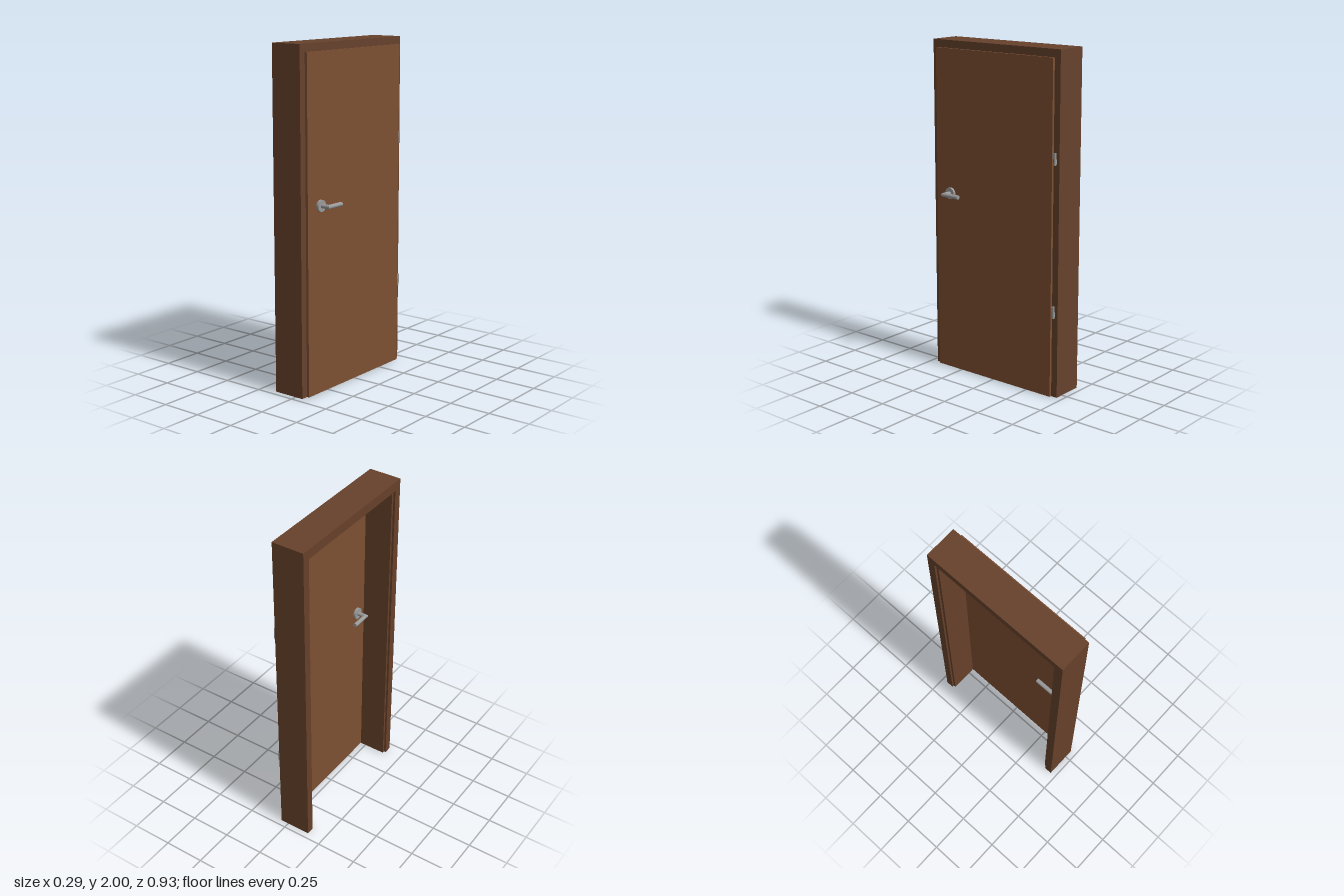
import * as THREE from 'three';

const mat = (color, extra = {}) => new THREE.MeshStandardMaterial({ color, ...extra });
const FRAME = mat(0x66412b);
const DOOR = mat(0x7d4f33);
const METAL = mat(0x999999);

const HALF_WIDTH = 0.463;
const HEIGHT = 2;

function add(parent, name, geometry, material, x = 0, y = 0, z = 0) {
  const mesh = new THREE.Mesh(geometry, material);
  mesh.name = name;
  mesh.position.set(x, y, z);
  parent.add(mesh);
  return mesh;
}

// Box given by its extents
function box(parent, name, material, [x0, x1], [y0, y1], [z0, z1]) {
  return add(parent, name, new THREE.BoxGeometry(x1 - x0, y1 - y0, z1 - z0), material,
    (x0 + x1) / 2, (y0 + y1) / 2, (z0 + z1) / 2);
}

// Upside-down U of jambs and lintel, running through the wall from x0 to x1
function frameLayer(x0, x1, inset) {
  const inner = HALF_WIDTH - inset;
  const top = HEIGHT - inset - 0.008;
  const shape = new THREE.Shape([
    [-HALF_WIDTH, 0], [-inner, 0], [-inner, top], [inner, top],
    [inner, 0], [HALF_WIDTH, 0], [HALF_WIDTH, HEIGHT], [-HALF_WIDTH, HEIGHT],
  ].map(([a, b]) => new THREE.Vector2(a, b)));
  return new THREE.ExtrudeGeometry(shape, { depth: x1 - x0, bevelEnabled: false })
    .rotateY(Math.PI / 2).translate(x0, 0, 0);
}

// Round bar along +y from 0 to length, its top cut at 45 degrees
function mitredBar(radius, length, slope) {
  const g = new THREE.CylinderGeometry(radius, radius, length, 24).translate(0, length / 2, 0);
  const p = g.attributes.position;
  for (let i = 0; i < p.count; i++) {
    if (p.getY(i) > length / 2) p.setY(i, length + slope * p.getX(i));
  }
  return g;
}

// Lever handle, pointing out along +x with its lever towards -z
function makeHandle(name) {
  const handle = new THREE.Group();
  handle.name = name;
  const rose = new THREE.CylinderGeometry(0.034, 0.034, 0.015, 32).rotateZ(-Math.PI / 2);
  add(handle, 'rose', rose, METAL, 0.0075);
  // Local x of each bar is turned into the plane of the bend
  const neck = mitredBar(0.0125, 0.0625, 1).rotateY(-Math.PI / 2).rotateZ(-Math.PI / 2);
  add(handle, 'neck', neck, METAL);
  const lever = mitredBar(0.0125, 0.111, 1).rotateX(Math.PI / 2);
  add(handle, 'lever', lever, METAL, 0.0625, 0, -0.111);
  return handle;
}

export function createModel() {
  const model = new THREE.Group();
  model.name = 'doorWithFrame';

  // Frame: stepped back edge, lining and front rebate
  const frame = new THREE.Group();
  frame.name = 'frame';
  add(frame, 'backEdge', frameLayer(-0.147, -0.135, 0.048), FRAME);
  add(frame, 'lining', frameLayer(-0.135, 0.035, 0.063), FRAME);
  add(frame, 'frontRebate', frameLayer(0.035, 0.05, 0.048), FRAME);
  model.add(frame);

  // Leaf: body in the rebate, lip overlapping the frame
  const door = new THREE.Group();
  door.name = 'door';
  box(door, 'doorBody', DOOR, [0.035, 0.056], [0.003, 1.94], [-0.413, 0.413]);
  box(door, 'doorLip', DOOR, [0.055, 0.07], [0.003, 1.955], [-0.427, 0.427]);
  model.add(door);

  // Handles on both faces
  const front = makeHandle('frontHandle');
  front.position.set(0.07, 1.1, 0.32);
  const back = makeHandle('backHandle');
  back.position.set(0.035, 1.1, 0.32);
  back.scale.x = -1;
  model.add(front, back);

  // Hinges
  for (const [name, y] of [['lowerHinge', 0.515], ['upperHinge', 1.4]]) {
    const hinge = new THREE.Group();
    hinge.name = name;
    add(hinge, 'pin', new THREE.CylinderGeometry(0.007, 0.007, 0.07, 16), METAL, 0.063, 0, -0.442);
    box(hinge, 'frameArm', METAL, [0.045, 0.063], [-0.03, -0.002], [-0.445, -0.439]);
    box(hinge, 'doorArm', METAL, [0.06, 0.066], [0.004, 0.03], [-0.442, -0.425]);
    hinge.position.y = y;
    model.add(hinge);
  }

  return model;
}
